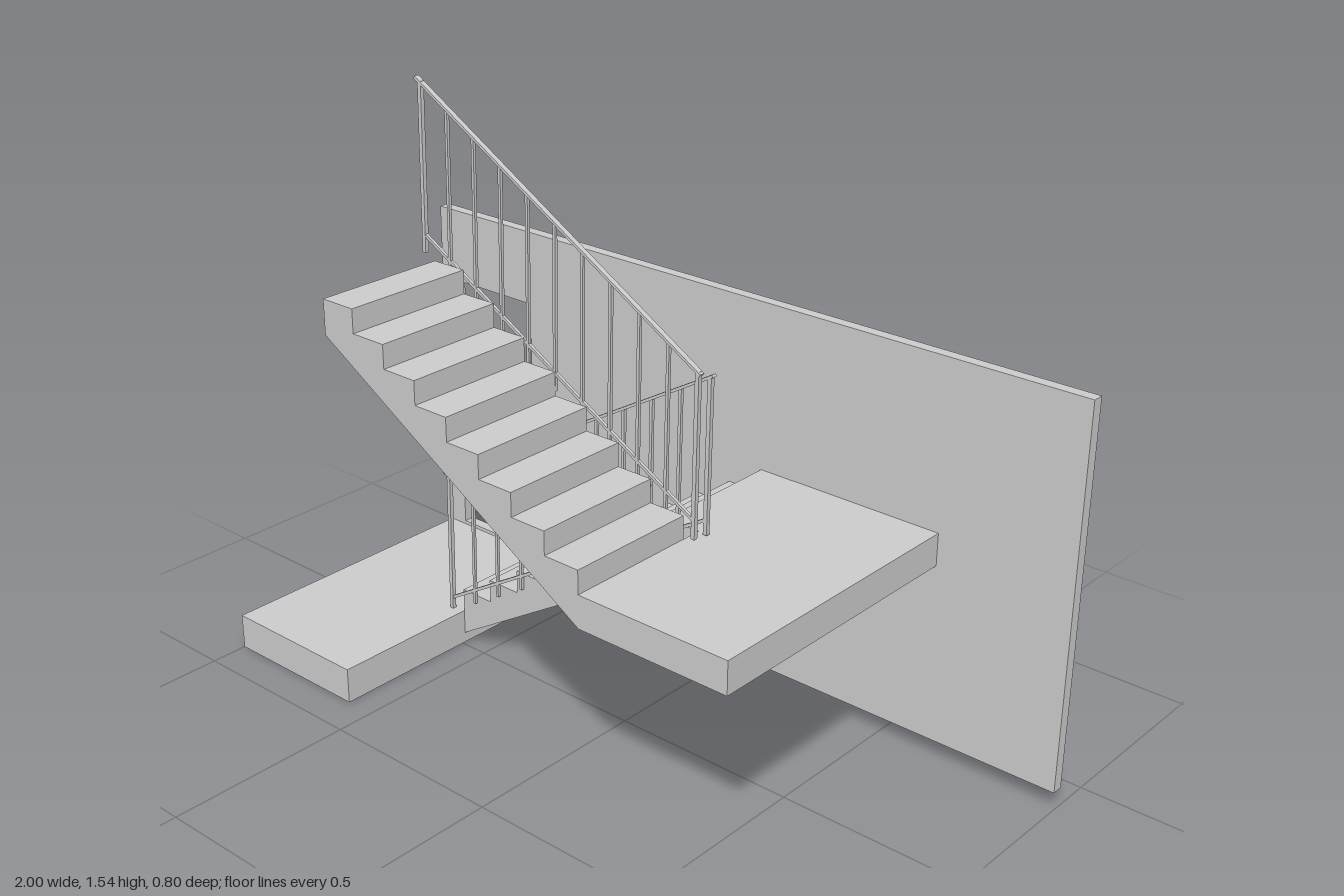
import * as THREE from 'three';

const material = new THREE.MeshStandardMaterial({ color: 0xcccccc, flatShading: true });

function addMesh(parent, name, geometry) {
  const mesh = new THREE.Mesh(geometry, material);
  mesh.name = name;
  parent.add(mesh);
  return mesh;
}

function rectPoints(x0, y0, x1, y1) {
  return [[x0, y0], [x1, y0], [x1, y1], [x0, y1]].map(([x, y]) => new THREE.Vector2(x, y));
}

// Side profile in the xy plane, extruded from z0 to z1
function extrudeZ(shape, z0, z1) {
  return new THREE.ExtrudeGeometry(shape, { depth: z1 - z0, bevelEnabled: false }).translate(0, 0, z0);
}

// Platform with a shallow recess in its underside
function createLanding(name, x0, x1, y0, y1) {
  const group = new THREE.Group();
  group.name = name;
  const zBack = -0.37, zFront = 0.4, rim = 0.045, recess = 0.04;
  const slab = new THREE.BoxGeometry(x1 - x0, y1 - y0 - recess, zFront - zBack);
  slab.translate((x0 + x1) / 2, (y0 + recess + y1) / 2, (zBack + zFront) / 2);
  addMesh(group, name + 'Slab', slab);
  const frame = new THREE.Shape(rectPoints(x0, -zFront, x1, -zBack));
  frame.holes.push(new THREE.Path(rectPoints(x0 + rim, -zFront + rim, x1 - rim, -zBack - rim)));
  const rimGeometry = new THREE.ExtrudeGeometry(frame, { depth: recess, bevelEnabled: false });
  rimGeometry.rotateX(-Math.PI / 2).translate(0, y0, 0);
  addMesh(group, name + 'Rim', rimGeometry);
  return group;
}

// Stepped flight with a sloping soffit; dir is the climbing direction along x
function createFlight(name, { x, y, rise, dir, underLow, underHigh, z0, z1 }) {
  const steps = 8, run = 0.1;
  const shape = new THREE.Shape();
  shape.moveTo(x, underLow);
  for (let i = 0; i < steps; i++) {
    shape.lineTo(x + dir * i * run, y + (i + 1) * rise);
    shape.lineTo(x + dir * (i + 1) * run, y + (i + 1) * rise);
  }
  shape.lineTo(x + dir * steps * run, underHigh);
  shape.closePath();
  const mesh = new THREE.Mesh(extrudeZ(shape, z0, z1), material);
  mesh.name = name;
  return mesh;
}

// Square bar between two points
function addBar(parent, name, a, b, thickness, width) {
  const start = new THREE.Vector3(...a), end = new THREE.Vector3(...b);
  const bar = addMesh(parent, name, new THREE.BoxGeometry(start.distanceTo(end), thickness, width));
  bar.position.copy(start).lerp(end, 0.5);
  bar.rotation.z = Math.atan2(end.y - start.y, end.x - start.x);
}

// Handrail, lower rail and eleven slightly leaning balusters
function createRailing(name, z, topY, lowY, drop) {
  const group = new THREE.Group();
  group.name = name;
  const x0 = -0.613, x1 = 0.25, posts = 11;
  const slope = (topY[1] - topY[0]) / (x1 - x0);
  const over = 0.012;
  addBar(group, 'handrail', [x0 - over, topY[0] - slope * over, z], [x1 + over, topY[1] + slope * over, z], 0.007, 0.014);
  addBar(group, 'lowerRail', [x0, lowY[0], z], [x1, lowY[1], z], 0.008, 0.008);
  for (let i = 0; i < posts; i++) {
    const t = i / (posts - 1);
    const x = THREE.MathUtils.lerp(x0, x1, t);
    const top = THREE.MathUtils.lerp(topY[0], topY[1], t);
    const bottom = THREE.MathUtils.lerp(lowY[0], lowY[1], t) - drop;
    const size = i === 0 || i === posts - 1 ? 0.011 : 0.008;
    addBar(group, 'baluster', [x - 0.003, bottom, z], [x + 0.003, top, z], size, size);
  }
  return group;
}

export function createModel() {
  const model = new THREE.Group();
  model.name = 'staircase';

  // Back wall with a doorway
  const wall = new THREE.Shape(rectPoints(-1, 0.05, 1, 1.04));
  wall.holes.push(new THREE.Path(rectPoints(-0.945, 0.105, -0.665, 0.84)));
  addMesh(model, 'wall', extrudeZ(wall, -0.4, -0.37));

  // Landings
  model.add(createLanding('lowerLanding', -1, -0.58, 0, 0.095));
  model.add(createLanding('middleLanding', 0.22, 0.64, 0.517, 0.602));

  // Flights of stairs
  model.add(createFlight('lowerFlight', {
    x: -0.58, y: 0.095, rise: 0.0633, dir: 1, underLow: 0.028, underHigh: 0.515, z0: -0.37, z1: -0.01,
  }));
  model.add(createFlight('upperFlight', {
    x: 0.22, y: 0.602, rise: 0.061, dir: -1, underLow: 0.517, underHigh: 1.0, z0: 0.045, z1: 0.4,
  }));

  // Railings
  model.add(createRailing('lowerRailing', -0.004, [0.495, 0.998], [0.127, 0.645], 0.04));
  model.add(createRailing('upperRailing', 0.04, [1.53, 1.027], [1.148, 0.655], 0.045));

  return model;
}
